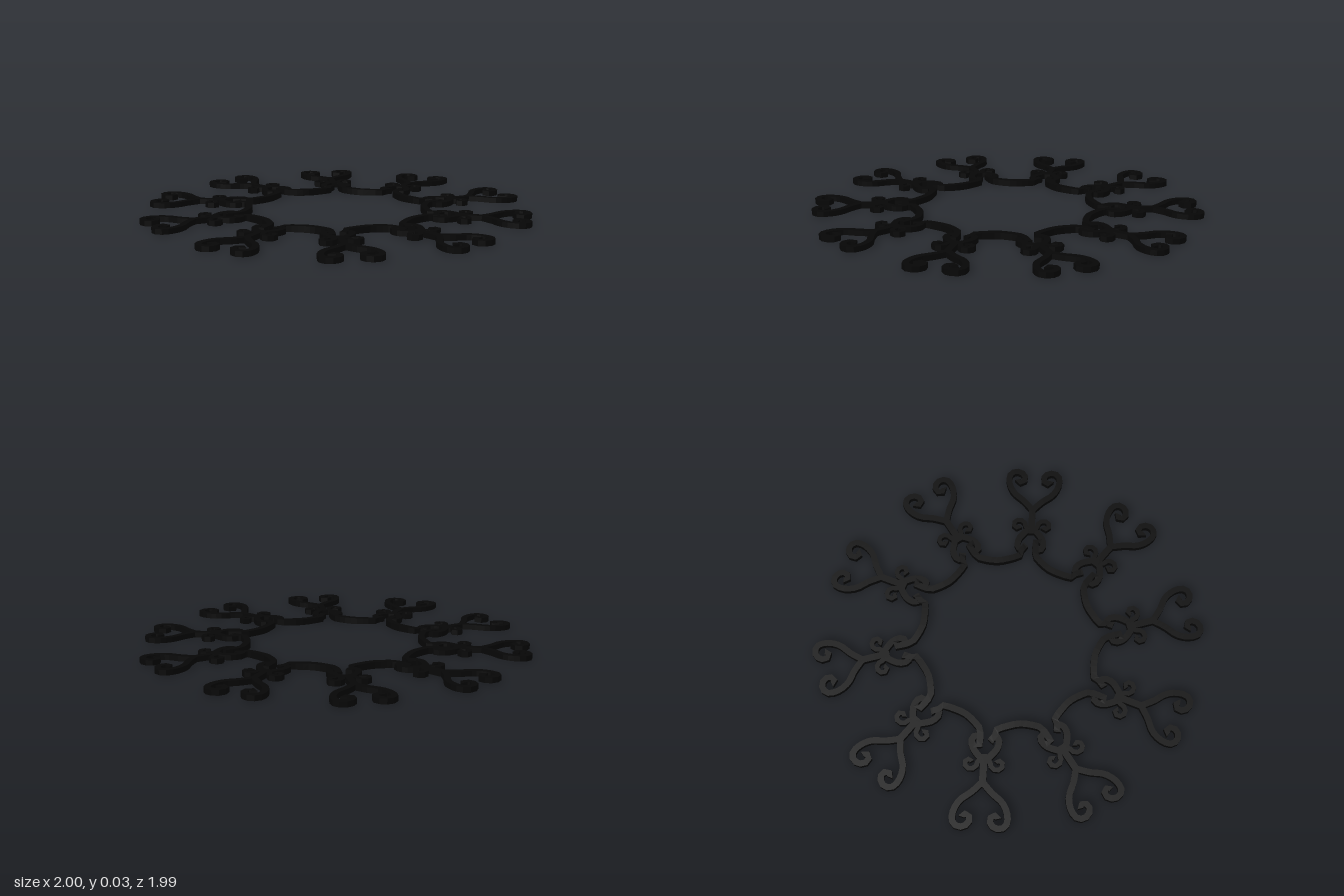
import * as THREE from 'three';

const COPIES = 10;     // repeats around the ring
const OFFSET = 0.08;   // sideways shift of each motif's axis from the centre
const MID = 0.0165;    // height of the bar centrelines
const HALF_H = 0.0135; // half height of the bars
const CORNERS = [[1, 1], [-1, 1], [-1, -1], [1, -1]];

const black = new THREE.MeshStandardMaterial({ color: 0x060606, flatShading: true });

// Rectangular bar swept along a flat path of [sideways, outward] points;
// swell makes it a little taller halfway along
function bar(points, halfW, steps, swell = 0) {
  const curve = new THREE.CatmullRomCurve3(
    points.map(([u, v]) => new THREE.Vector3(u + OFFSET, MID, -v)));
  const up = new THREE.Vector3(0, 1, 0);
  const pos = [], index = [];
  const last = steps + 2;
  for (let i = 0; i <= last; i++) {
    const t = THREE.MathUtils.clamp((i - 1) / steps, 0, 1);
    const size = i === 0 || i === last ? 0 : 1; // collapsed rings close the ends
    const h = (HALF_H + swell * Math.sin(Math.PI * t)) * size;
    const p = curve.getPointAt(t);
    const side = up.clone().cross(curve.getTangentAt(t)).normalize();
    CORNERS.forEach(([s, y], j) => {
      const q = p.clone().addScaledVector(side, s * halfW * size).addScaledVector(up, y * h);
      pos.push(q.x, q.y, q.z);
      if (i === last) return;
      const a = i * 4 + j, b = i * 4 + (j + 1) % 4;
      index.push(a, b, a + 4, b, b + 4, a + 4);
    });
  }
  const g = new THREE.BufferGeometry();
  g.setAttribute('position', new THREE.Float32BufferAttribute(pos, 3));
  g.setIndex(index);
  g.computeVertexNormals();
  return g;
}

const mirror = (points) => points.map(([u, v]) => [-u, v]);

// Outer scroll: branch that opens from the stem and curls inward at the tip
const scroll = [[0, 0.75], [0.05, 0.803], [0.105, 0.848], [0.133, 0.905], [0.132, 0.955],
  [0.105, 0.977], [0.07, 0.971], [0.05, 0.944], [0.058, 0.917], [0.086, 0.914], [0.09, 0.928]];
// Small curl at the foot of the stem
const curl = [[0, 0.62], [0.027, 0.642], [0.039, 0.675], [0.065, 0.688], [0.09, 0.675],
  [0.092, 0.65], [0.068, 0.638], [0.06, 0.65]];
// Half of the heart, widest at its inner end, closing in a tight hook
const cheek = [[0, 0.65], [0.035, 0.613], [0.06, 0.58], [0.068, 0.54], [0.052, 0.515],
  [0.027, 0.518], [0.03, 0.536], [0.044, 0.54]];
// Shallow link running from this motif to its neighbour
const link = [[-0.028, 0.535], [-0.045, 0.518], [-0.047, 0.485], [-0.1, 0.46], [-0.165, 0.442],
  [-0.225, 0.445], [-0.272, 0.456], [-0.302, 0.49], [-0.325, 0.525], [-0.3, 0.537]];

export function createModel() {
  const model = new THREE.Group();
  model.name = 'scrollRing';

  const parts = [
    ['stem', bar([[0, 0.61], [0, 0.69], [0, 0.77]], 0.0175, 2)],
    ['leftScroll', bar(scroll, 0.016, 17)],
    ['rightScroll', bar(mirror(scroll), 0.016, 17)],
    ['leftCurl', bar(curl, 0.0125, 9)],
    ['rightCurl', bar(mirror(curl), 0.0125, 9)],
    ['leftCheek', bar(cheek, 0.0165, 10)],
    ['rightCheek', bar(mirror(cheek), 0.0165, 10)],
    ['link', bar(link, 0.0165, 13, 0.003)],
  ];

  for (let i = 0; i < COPIES; i++) {
    const motif = new THREE.Group();
    motif.name = `motif${i + 1}`;
    for (const [name, geometry] of parts) {
      const mesh = new THREE.Mesh(geometry, black);
      mesh.name = name;
      motif.add(mesh);
    }
    motif.rotation.y = (i / COPIES) * Math.PI * 2;
    model.add(motif);
  }
  return model;
}
